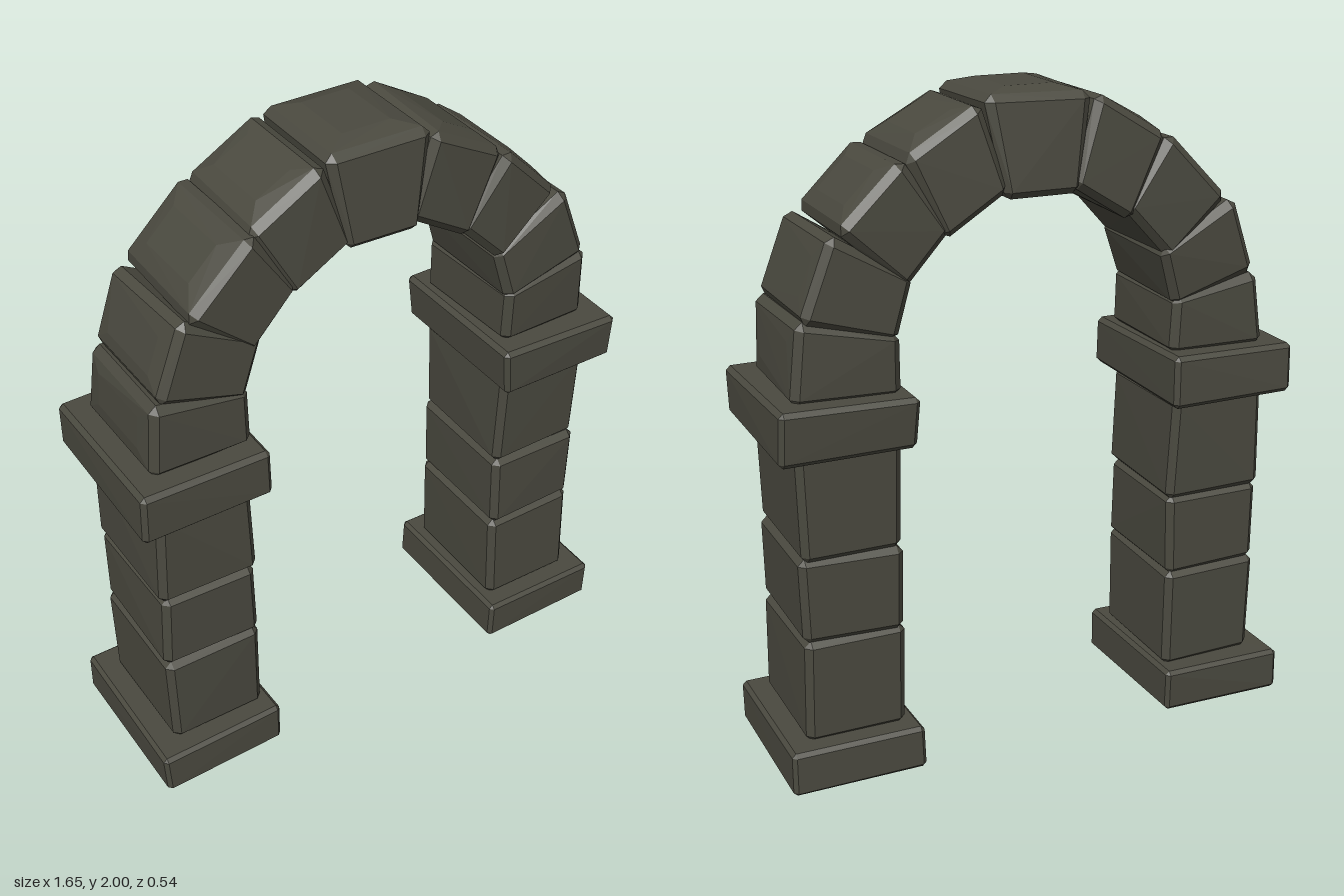
import * as THREE from 'three';
import { ConvexGeometry } from 'three/addons/geometries/ConvexGeometry.js';

const stoneMat = new THREE.MeshStandardMaterial({ color: 0x4a493f });
stoneMat.name = 'dark stone';

// Seeded random in -1..1
let seed = 7;
const rnd = () => {
  seed = (seed * 16807) % 2147483647;
  return (seed / 2147483647) * 2 - 1;
};

// Chamfered block: quad = inner-start, inner-end, outer-end, outer-start in xy; depth along z
function block(name, quad, halfZ, { bevel = 0.022, bulge = 0, taper = 1, rough = 0.006 } = {}) {
  const [a, b, c, d] = quad.map(([x, y]) => new THREE.Vector2(x, y));
  const lenU = (a.distanceTo(b) + d.distanceTo(c)) / 2;
  const lenV = (a.distanceTo(d) + b.distanceTo(c)) / 2;
  const place = (u, v, w) => {
    const inner = a.clone().lerp(b, (u + 1) / 2);
    const outer = d.clone().lerp(c, (u + 1) / 2);
    const p = inner.lerp(outer, (v + 1) / 2);
    const z = w * halfZ * THREE.MathUtils.lerp(1, taper, THREE.MathUtils.clamp(v, 0, 1));
    return new THREE.Vector3(p.x, p.y, z);
  };
  const iu = 1 - 2 * bevel / lenU, iv = 1 - 2 * bevel / lenV, iw = 1 - bevel / halfZ;
  const points = [];
  for (const u of [-1, 1]) for (const v of [-1, 1]) for (const w of [-1, 1]) {
    const shift = new THREE.Vector3(rnd(), rnd(), rnd()).multiplyScalar(rough);
    for (const [fu, fv, fw] of [[1, iv, iw], [iu, 1, iw], [iu, iv, 1]]) {
      const p = place(u * fu, v * fv, w * fw).add(shift);
      p.y = Math.min(2, Math.max(0, p.y));
      points.push(p);
    }
  }
  // Slightly crowned outer face
  if (bulge) for (const u of [-0.45, 0.45]) for (const w of [-0.6, 0.6]) {
    points.push(place(u, 1 + 2 * bulge / lenV, w));
  }
  const mesh = new THREE.Mesh(new ConvexGeometry(points), stoneMat);
  mesh.name = name;
  return mesh;
}

const rect = (x0, x1, y0, y1) => [[x0, y0], [x1, y0], [x1, y1], [x0, y1]];

export function createModel() {
  seed = 7;
  const model = new THREE.Group();
  model.name = 'stoneArch';

  // Piers with a plinth, three blocks and a capital
  const courses = [0.13, 0.45, 0.705, 1.025];
  for (const [side, s] of [['left', 1], ['right', -1]]) {
    const pier = new THREE.Group();
    pier.name = side + 'Pier';
    const slab = (x0, x1, y0, y1) => (s > 0 ? rect(x0, x1, y0, y1) : rect(-x1, -x0, y0, y1));
    pier.add(block(side + 'Plinth', slab(0.41, 0.82, 0, 0.135), 0.265, { bevel: 0.012, rough: 0.004 }));
    for (let i = 0; i < 3; i++) {
      pier.add(block(side + 'PierBlock' + (i + 1),
        slab(0.44, 0.755, courses[i] - 0.004, courses[i + 1] + 0.004), 0.203, { bevel: 0.02 }));
    }
    pier.add(block(side + 'Capital', slab(0.41, 0.82, 1.02, 1.178), 0.265, { bevel: 0.014, rough: 0.005 }));
    model.add(pier);
  }

  // Arch stones, mirrored, from the capital up to the keystone
  const arch = new THREE.Group();
  arch.name = 'arch';
  const voussoirs = [
    [[0.44, 1.17], [0.437, 1.35], [0.735, 1.405], [0.755, 1.17]],
    [[0.445, 1.325], [0.39, 1.50], [0.635, 1.64], [0.725, 1.395]],
    [[0.415, 1.475], [0.27, 1.625], [0.415, 1.84], [0.61, 1.645]],
    [[0.29, 1.60], [0.095, 1.715], [0.175, 1.97], [0.41, 1.84]],
  ];
  for (const [side, s] of [['left', 1], ['right', -1]]) {
    voussoirs.forEach((quad, i) => {
      const q = quad.map(([x, y]) => [s * x, y]);
      arch.add(block(side + 'ArchStone' + (i + 1), q, 0.2,
        { bulge: i > 1 ? 0.012 : 0.004, taper: i === 3 ? 0.93 : 0.98, rough: 0.007 }));
    });
  }
  arch.add(block('keystone', [[-0.115, 1.69], [0.115, 1.69], [0.167, 1.982], [-0.167, 1.982]], 0.21,
    { bulge: 0.017, taper: 0.82, rough: 0.005 }));
  model.add(arch);
  return model;
}
